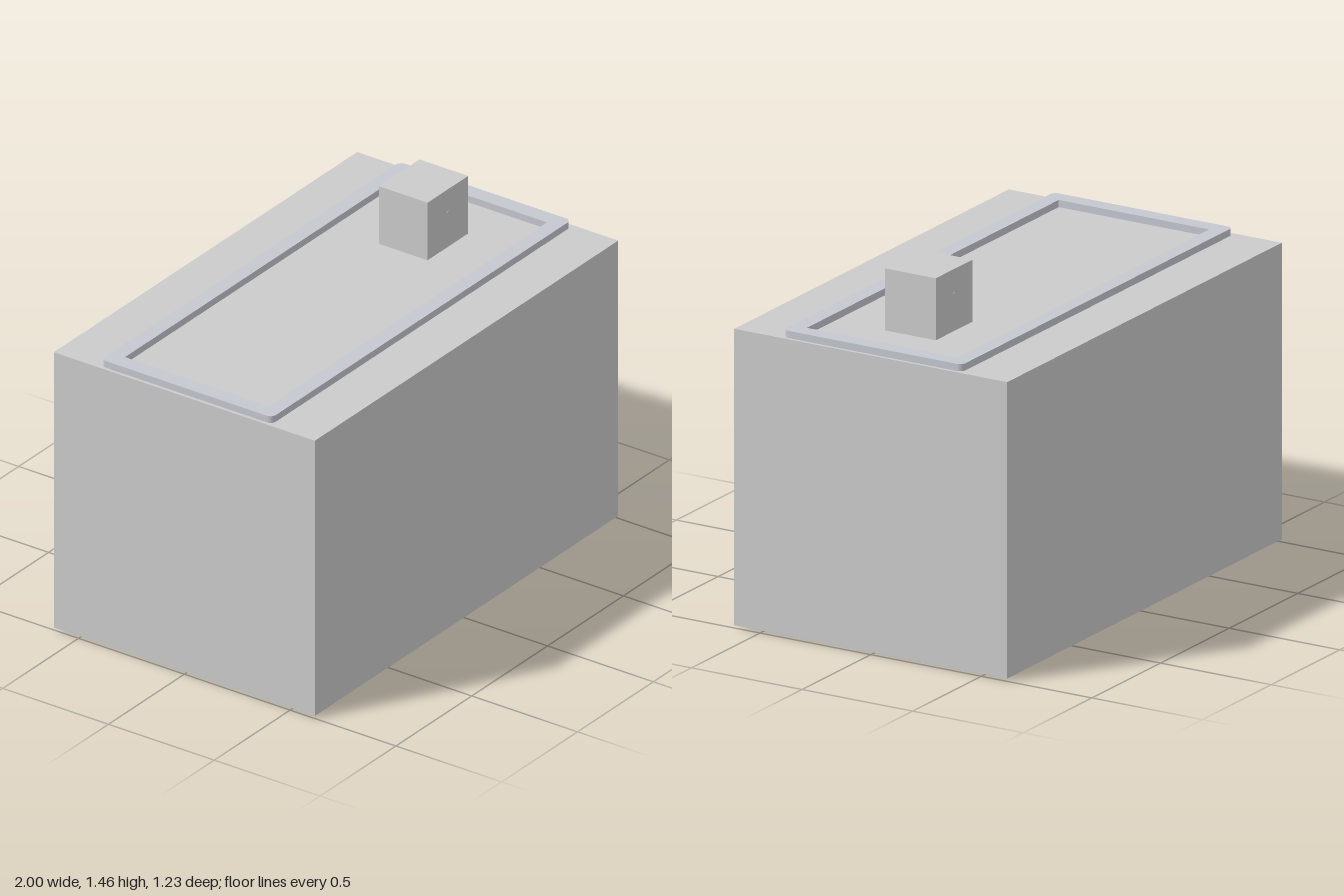
import * as THREE from 'three';

const grey = new THREE.MeshStandardMaterial({ color: 0xcccccc });
const tinted = new THREE.MeshStandardMaterial({ color: 0xc6c8d0 });

export function createModel() {
  const model = new THREE.Group();

  const add = (name, geometry, material, x, y, z) => {
    const mesh = new THREE.Mesh(geometry, material);
    mesh.name = name;
    mesh.position.set(x, y, z);
    model.add(mesh);
    return mesh;
  };
  const box = (name, w, h, d, x, bottom, z) =>
    add(name, new THREE.BoxGeometry(w, h, d), grey, x, bottom + h / 2, z);

  // Extrudes a plan outline (shape y runs towards the back) upwards from a height
  const slab = (name, shape, height, bottom) => {
    const geometry = new THREE.ExtrudeGeometry(shape, { depth: height, bevelEnabled: false, curveSegments: 4 });
    geometry.rotateX(-Math.PI / 2);
    return add(name, geometry, tinted, 0, bottom, 0);
  };

  // Main block
  box('body', 2, 1.2, 1.234, 0, 0.011, 0);

  // Raised rim with rounded outer corners and a square opening
  const w = 0.986, d = 0.405, r = 0.025;
  const rim = new THREE.Shape();
  rim.moveTo(-w + r, -d);
  rim.lineTo(w - r, -d);
  rim.absarc(w - r, -d + r, r, -Math.PI / 2, 0);
  rim.absarc(w - r, d - r, r, 0, Math.PI / 2);
  rim.absarc(-w + r, d - r, r, Math.PI / 2, Math.PI);
  rim.absarc(-w + r, -d + r, r, Math.PI, Math.PI * 1.5);
  const opening = [[-0.917, -0.34], [-0.917, 0.34], [0.917, 0.34], [0.917, -0.34]];
  rim.holes.push(new THREE.Path(opening.map(([x, y]) => new THREE.Vector2(x, y))));
  slab('topRim', rim, 0.03, 1.21);

  // Bottom plate, its front edge stepped into shallow tabs
  const steps = [-0.967, -0.89, -0.27, -0.115, 0.115, 0.27, 0.89, 0.967];
  const edge = [];
  for (let i = 0; i < steps.length - 1; i++) {
    const front = i % 2 === 0 ? -0.387 : -0.379;
    edge.push(new THREE.Vector2(steps[i], front), new THREE.Vector2(steps[i + 1], front));
  }
  edge.push(new THREE.Vector2(0.967, 0.387), new THREE.Vector2(-0.967, 0.387));
  slab('bottomPlate', new THREE.Shape(edge), 0.012, 0);

  // Small block on top, with a tiny slot mark front and back
  box('topBlock', 0.268, 0.252, 0.23, 0.577, 1.21, 0);
  for (const side of [-1, 1]) box('blockMark', 0.016, 0.004, 0.003, 0.577, 1.363, side * 0.115);

  return model;
}
